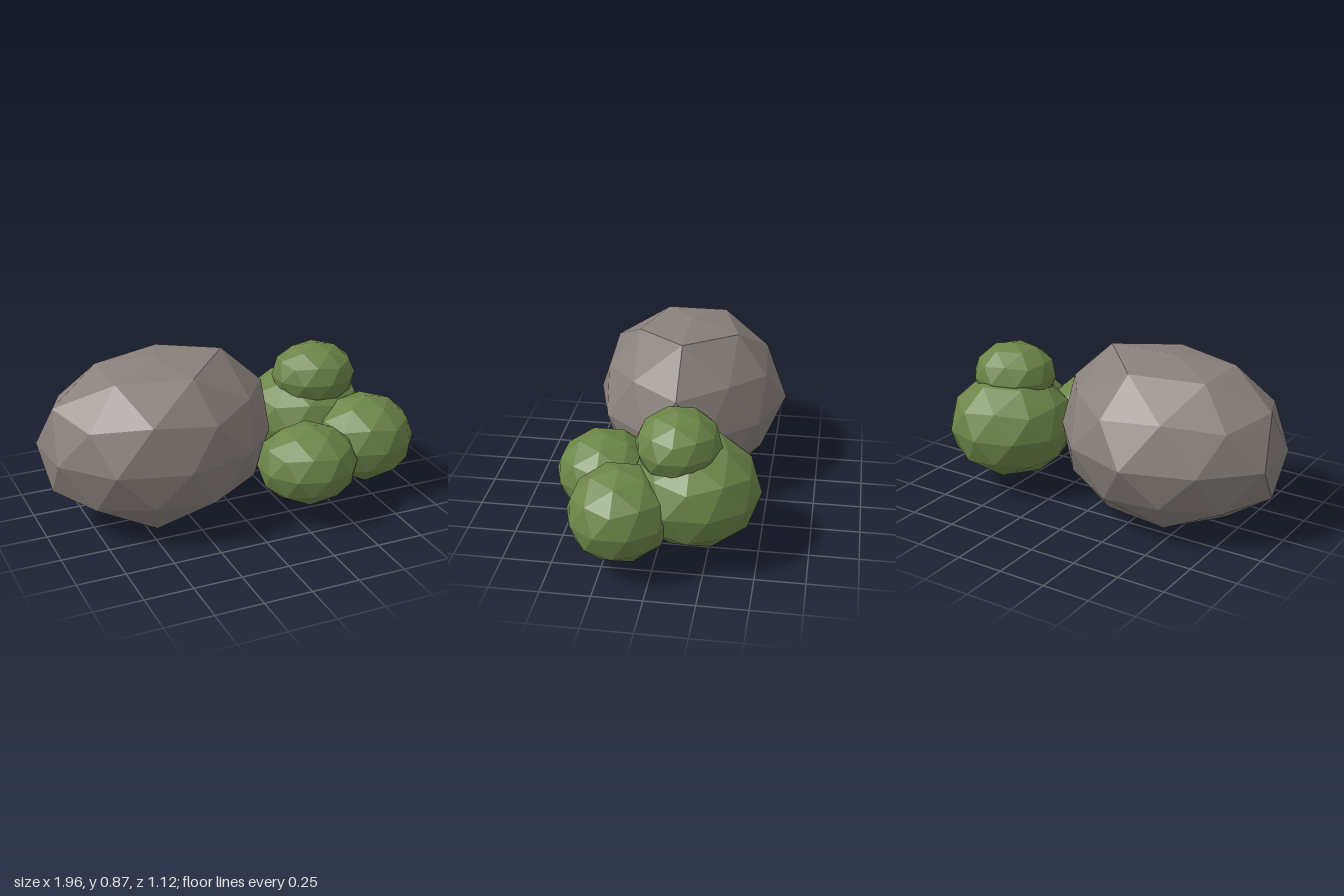
import * as THREE from 'three';

// Low-poly ball with a vertex at each pole; bumps are [x, y, z, factor] pushes on single corners
function facetedBall(radii, bumps = []) {
  const g = new THREE.IcosahedronGeometry(1, 1);
  g.rotateX(-Math.atan((1 + Math.sqrt(5)) / 2));
  g.rotateY(Math.PI / 2);
  const p = g.attributes.position;
  const v = new THREE.Vector3();
  const b = new THREE.Vector3();
  for (let i = 0; i < p.count; i++) {
    v.fromBufferAttribute(p, i);
    let k = 1;
    for (const [x, y, z, f] of bumps) {
      if (b.set(x, y, z).distanceTo(v) < 0.1) k = f;
    }
    v.multiplyScalar(k);
    p.setXYZ(i, v.x * radii[0], v.y * radii[1], v.z * radii[2]);
  }
  g.computeVertexNormals();
  return g;
}

export function createModel() {
  const stone = new THREE.MeshStandardMaterial({ color: 0x88807b, flatShading: true });
  stone.name = 'stone grey';
  const leaf = new THREE.MeshStandardMaterial({ color: 0x6c8548, flatShading: true });
  leaf.name = 'leaf green';

  const model = new THREE.Group();
  model.name = 'boulderWithBush';

  // Boulder with a few corners pushed out
  const boulder = new THREE.Mesh(facetedBall([0.6, 0.437, 0.497], [
    [0.526, 0.851, 0, 1.15],
    [0.163, 0.851, -0.5, 1.06],
    [0.163, 0.851, 0.5, 1.06],
    [-0.426, 0.851, 0.309, 1.03],
    [-0.426, 0.851, -0.309, 1.03],
    [0.894, 0.447, 0, 1.1],
    [-0.851, 0.526, 0, 1.06],
    [-0.263, 0.526, 0.809, 1.06],
    [-0.894, -0.447, 0, 1.05],
    [-0.951, 0, -0.309, 1.04],
    [0, 0, -1, 1.05],
    [0.426, -0.851, -0.309, 1.09],
    [0.851, -0.526, 0, 1.07],
    [-0.163, -0.851, 0.5, 1.05],
    [-0.163, -0.851, -0.5, 1.03],
  ]), stone);
  boulder.name = 'boulder';
  boulder.position.set(-0.38, 0.438, -0.04);
  model.add(boulder);

  // Bush made of four overlapping clumps
  const bush = new THREE.Group();
  bush.name = 'bush';
  const clumps = [
    ['backClump', [0.53, 0.36, -0.18], [0.34, 0.28, 0.33]],
    ['frontClump', [0.32, 0.3, 0.305], [0.265, 0.21, 0.25]],
    ['sideClump', [0.73, 0.313, 0.155], [0.275, 0.236, 0.26]],
    ['topClump', [0.555, 0.61, -0.105], [0.23, 0.174, 0.212]],
  ];
  for (const [name, position, radii] of clumps) {
    const clump = new THREE.Mesh(facetedBall(radii), leaf);
    clump.name = name;
    clump.position.set(...position);
    bush.add(clump);
  }
  model.add(bush);
  return model;
}
